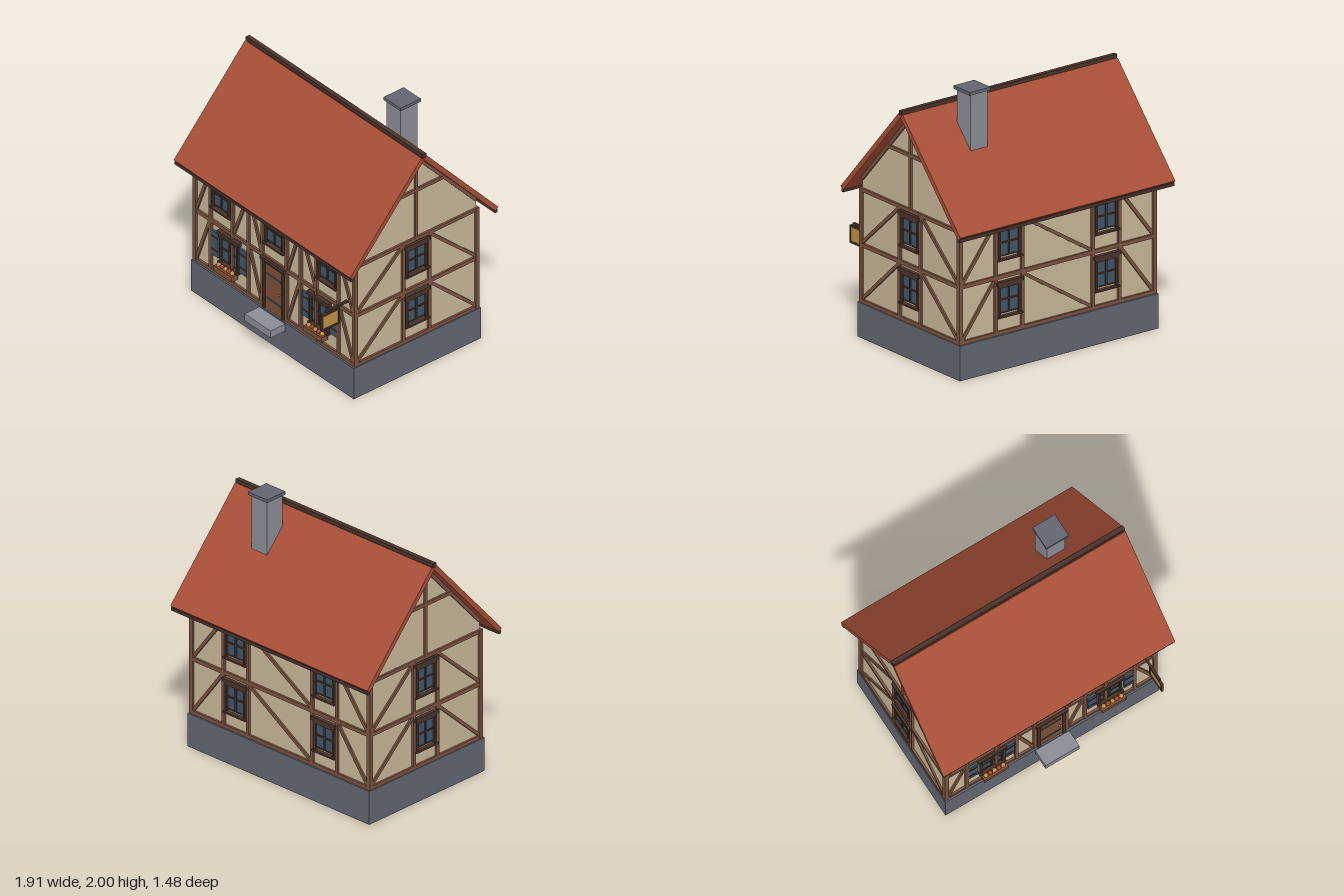
import * as THREE from 'three';

const mat = (name, color) => {
  const m = new THREE.MeshStandardMaterial({ color });
  m.name = name;
  return m;
};
const M = {
  base: mat('dark stone', 0x636671),
  stone: mat('light stone', 0x8b8d97),
  roof: mat('roof tile', 0xa84f38),
  plaster: mat('plaster', 0xc9b899),
  timber: mat('timber', 0x7b5440),
  door: mat('door wood', 0x7d5038),
  dark: mat('dark wood', 0x4a342a),
  blue: mat('blue glass and paint', 0x40566a),
  gold: mat('gold', 0xbf9240),
  red: mat('flower red', 0xb0452f),
};

const MID_Z = -0.055; // ridge line
const FLOOR_LIFT = 0.425; // window spacing between floors

// Box given by its low and high corners
function block(parent, name, m, [x0, y0, z0], [x1, y1, z1]) {
  const mesh = new THREE.Mesh(new THREE.BoxGeometry(x1 - x0, y1 - y0, z1 - z0), m);
  mesh.position.set((x0 + x1) / 2, (y0 + y1) / 2, (z0 + z1) / 2);
  mesh.name = name;
  parent.add(mesh);
  return mesh;
}

// Flat board on a wall, centred on x
function board(wall, name, m, x, w, y0, y1, depth, z0 = 0) {
  return block(wall, name, m, [x - w / 2, y0, z0], [x + w / 2, y1, depth]);
}

// Diagonal timber between two points on a wall
function brace(wall, name, x0, y0, x1, y1, width = 0.025) {
  const len = Math.hypot(x1 - x0, y1 - y0);
  const mesh = new THREE.Mesh(new THREE.BoxGeometry(len, width, 0.013), M.timber);
  mesh.position.set((x0 + x1) / 2, (y0 + y1) / 2, 0.0065);
  mesh.rotation.z = Math.atan2(y1 - y0, x1 - x0);
  mesh.name = name;
  wall.add(mesh);
}

// Rising (dir 1) or falling (dir -1) brace filling a bay on floor 0 or 1
function bayBrace(wall, xa, xb, floor, dir) {
  const [lo, hi] = floor ? [0.71, 1.085] : [0.29, 0.67];
  brace(wall, 'brace', xa, dir > 0 ? lo : hi, xb, dir > 0 ? hi : lo);
}

function windowUnit(wall, x, floor) {
  const g = new THREE.Group();
  g.name = 'window';
  g.position.set(x, floor * FLOOR_LIFT, 0);
  wall.add(g);
  board(g, 'glass', M.blue, 0, 0.17, 0.42, 0.615, 0.006);
  for (const s of [-1, 1]) board(g, 'windowJamb', M.dark, s * 0.088, 0.016, 0.4, 0.615, 0.02);
  board(g, 'mullion', M.dark, 0, 0.014, 0.42, 0.615, 0.014);
  board(g, 'crossbar', M.dark, 0, 0.17, 0.512, 0.522, 0.014);
  board(g, 'bottomRail', M.dark, 0, 0.17, 0.415, 0.422, 0.012);
  board(g, 'lintel', M.dark, 0, 0.205, 0.607, 0.635, 0.024);
  board(g, 'lintelCap', M.dark, 0, 0.235, 0.629, 0.656, 0.03);
  board(g, 'windowSill', M.dark, 0, 0.22, 0.386, 0.4, 0.032);
  return g;
}

// Wall group: local x runs along the wall, z points outwards
function makeWall(parent, name, x, z, turn, half, posts) {
  const wall = new THREE.Group();
  wall.name = name;
  wall.position.set(x, 0, z);
  wall.rotation.y = turn;
  parent.add(wall);
  for (const [y0, y1] of [[0.26, 0.287], [0.675, 0.705], [1.088, 1.115]])
    board(wall, 'rail', M.timber, 0, 2 * half, y0, y1, 0.016);
  for (const s of [-1, 1]) {
    board(wall, 'cornerPost', M.timber, s * half, 0.032, 0.26, 1.115, 0.017);
    for (const p of posts) board(wall, 'post', M.timber, s * p, 0.026, 0.26, 1.1, 0.017);
  }
  return wall;
}

function flowerBox(wall, x) {
  const g = new THREE.Group();
  g.name = 'flowerBox';
  g.position.x = x;
  wall.add(g);
  board(g, 'planter', M.door, 0, 0.2, 0.345, 0.387, 0.075, 0.015);
  const bloom = new THREE.SphereGeometry(0.017, 10, 8);
  for (let i = 0; i < 5; i++) {
    const f = new THREE.Mesh(bloom, i % 2 ? M.red : M.gold);
    f.name = 'flower';
    f.position.set((i - 2) * 0.036, 0.395, 0.047);
    g.add(f);
  }
}

function shutter(wall, x) {
  board(wall, 'shutter', M.blue, x, 0.075, 0.41, 0.617, 0.016);
  for (const y of [0.455, 0.565]) board(wall, 'shutterStrap', M.dark, x, 0.075, y, y + 0.012, 0.02);
}

function frontWall(house) {
  const w = makeWall(house, 'frontWall', 0, 0.5, 0, 0.861, [0.6925, 0.4525, 0.2825, 0.13]);
  windowUnit(w, 0, 1);
  for (const s of [-1, 1]) {
    windowUnit(w, s * 0.574, 1);
    windowUnit(w, s * 0.487, 0);
    shutter(w, s * 0.64);
    shutter(w, s * 0.34);
    flowerBox(w, s * 0.487);
    for (const floor of [0, 1]) {
      bayBrace(w, s * 0.845, s * 0.705, floor, 1);
      bayBrace(w, s * 0.27, s * 0.143, floor, -1);
    }
    bayBrace(w, s * 0.44, s * 0.295, 1, 1);
    board(w, 'doorPost', M.dark, s * 0.103, 0.026, 0.26, 0.67, 0.028);
  }
  // Door
  board(w, 'door', M.door, 0, 0.18, 0.26, 0.67, 0.018);
  for (const y of [0.35, 0.557]) board(w, 'doorStrap', M.blue, -0.005, 0.165, y, y + 0.012, 0.023);
  board(w, 'doorLintel', M.dark, 0, 0.232, 0.655, 0.675, 0.03);
  board(w, 'doorCap', M.dark, 0, 0.262, 0.668, 0.694, 0.036);
  const knob = new THREE.Mesh(new THREE.SphereGeometry(0.008, 10, 8), M.gold);
  knob.name = 'doorKnob';
  knob.position.set(0.063, 0.45, 0.024);
  w.add(knob);
}

function backWall(house) {
  const w = makeWall(house, 'backWall', 0, -0.61, Math.PI, 0.861, [0.55, 0.312]);
  for (const floor of [0, 1]) {
    for (const s of [-1, 1]) {
      windowUnit(w, s * 0.431, floor);
      bayBrace(w, s * 0.845, s * 0.56, floor, 1);
    }
    bayBrace(w, -0.3, 0.3, floor, -1);
  }
}

function sideWall(house, s) {
  const w = makeWall(house, s > 0 ? 'leftWall' : 'rightWall', s * 0.86, MID_Z, s * Math.PI / 2, 0.556, [0.118]);
  for (const floor of [0, 1]) {
    windowUnit(w, 0, floor);
    for (const t of [-1, 1]) bayBrace(w, t * 0.545, t * 0.13, floor, 1);
  }
  // Gable framing
  board(w, 'gablePost', M.timber, 0, 0.026, 1.11, 1.79, 0.015);
  board(w, 'collarBeam', M.timber, 0, 0.53, 1.5, 1.526, 0.016);
  for (const t of [-1, 1]) brace(w, 'rafter', t * 0.548, 1.185, 0, 1.79);
}

function sign(house) {
  const g = new THREE.Group();
  g.name = 'hangingSign';
  house.add(g);
  const x = 0.778;
  block(g, 'signArm', M.dark, [x - 0.009, 0.76, 0.5], [x + 0.009, 0.776, 0.705]);
  for (const z of [0.61, 0.69]) block(g, 'signHanger', M.dark, [x - 0.003, 0.745, z - 0.003], [x + 0.003, 0.762, z + 0.003]);
  block(g, 'signPanel', M.gold, [x - 0.005, 0.63, 0.59], [x + 0.005, 0.738, 0.728]);
  for (const y of [0.617, 0.735]) block(g, 'signFrame', M.dark, [x - 0.009, y, 0.575], [x + 0.009, y + 0.015, 0.742]);
  for (const z of [0.575, 0.727]) block(g, 'signFrame', M.dark, [x - 0.009, 0.617, z], [x + 0.009, 0.75, z + 0.015]);
}

function roof(house) {
  const slab = new THREE.BoxGeometry(1.91, 0.037, 0.981);
  for (const s of [1, -1]) {
    const m = new THREE.Mesh(slab, M.roof);
    m.name = s > 0 ? 'frontRoof' : 'backRoof';
    m.position.set(0, 1.463, MID_Z + s * 0.339);
    m.rotation.x = s * 0.838;
    house.add(m);
    const z = MID_Z + s * 0.66;
    block(house, 'eaveBoard', M.dark, [-0.955, 1.071, z - 0.011], [0.955, 1.095, z + 0.011]);
  }
  block(house, 'ridgeBoard', M.dark, [-0.957, 1.836, MID_Z - 0.017], [0.957, 1.865, MID_Z + 0.017]);
  block(house, 'chimney', M.stone, [0.4, 1.5, -0.335], [0.55, 1.98, -0.18]);
  block(house, 'chimneyCap', M.base, [0.385, 1.976, -0.35], [0.57, 2.0, -0.165]);
}

export function createModel() {
  const house = new THREE.Group();
  house.name = 'timberHouse';

  block(house, 'foundation', M.base, [-0.882, 0, -0.638], [0.882, 0.26, 0.53]);
  block(house, 'doorStep', M.stone, [-0.14, 0.19, 0.5], [0.14, 0.25, 0.665]);

  // Plaster body with gables
  const profile = new THREE.Shape([[0.5, 0.26], [0.5, 1.19], [MID_Z, 1.8], [-0.61, 1.19], [-0.61, 0.26]]
    .map(([z, y]) => new THREE.Vector2(z, y)));
  const body = new THREE.ExtrudeGeometry(profile, { depth: 1.72, bevelEnabled: false });
  body.rotateY(-Math.PI / 2).translate(0.86, 0, 0);
  const plaster = new THREE.Mesh(body, M.plaster);
  plaster.name = 'plasterBody';
  house.add(plaster);

  frontWall(house);
  backWall(house);
  for (const s of [1, -1]) sideWall(house, s);
  roof(house);
  sign(house);
  return house;
}
